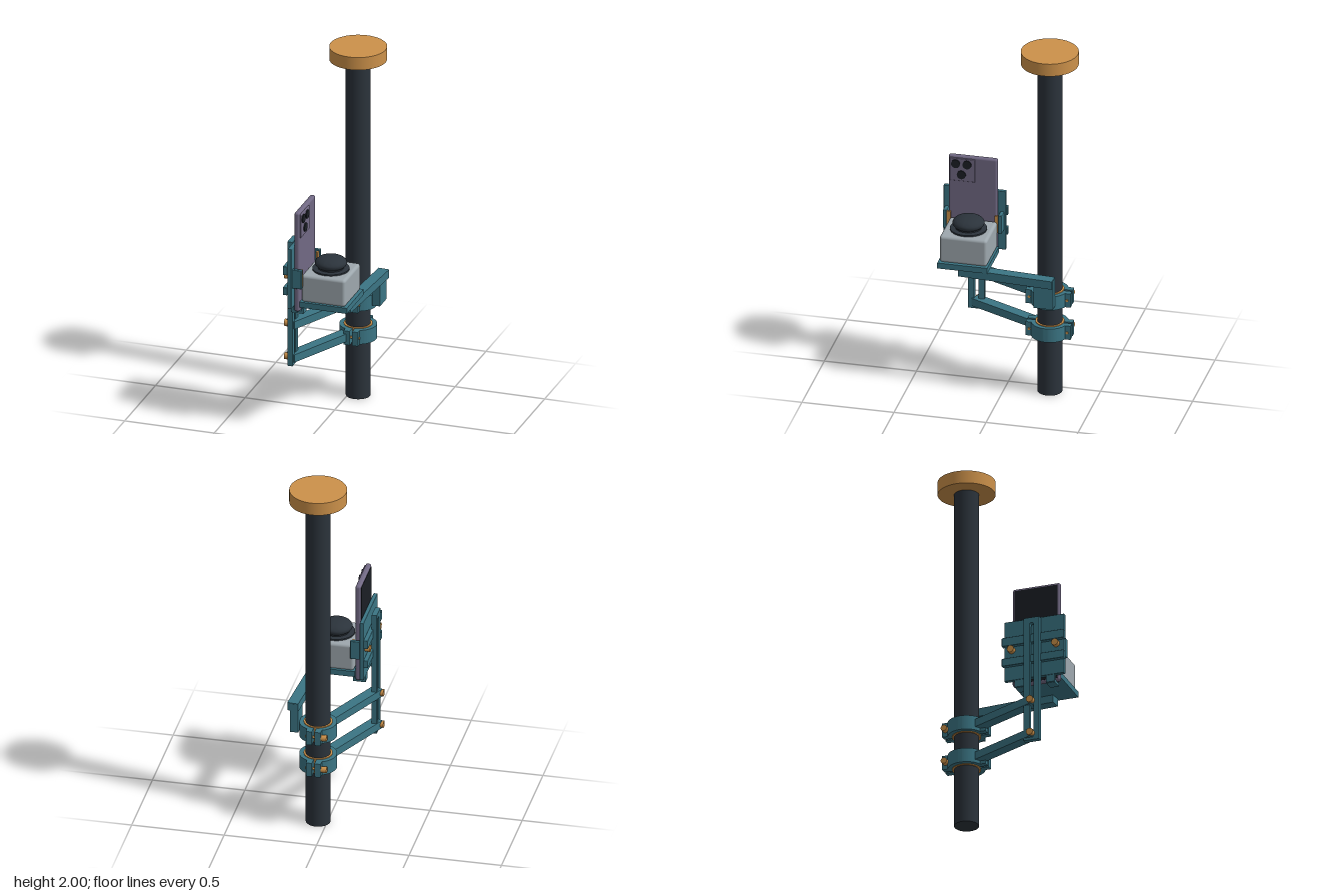
import * as THREE from 'three';
import { toCreasedNormals } from 'three/addons/utils/BufferGeometryUtils.js';
import { RoundedBoxGeometry } from 'three/addons/geometries/RoundedBoxGeometry.js';

const paint = (name, color) => Object.assign(new THREE.MeshStandardMaterial({ color }), { name });

export function createModel() {
  const teal = paint('teal', 0x3b7584);
  const orange = paint('orange', 0xcc914a);
  const charcoal = paint('charcoal', 0x2b333b);
  const grey = paint('grey', 0x9ea8ae);
  const purple = paint('purple', 0x716984);
  const black = paint('black', 0x1b1f25);

  const model = new THREE.Group();
  const PX = 0.05, PZ = -0.237; // pole axis

  const add = (name, geo, mat, x = 0, y = 0, z = 0, parent = model) => {
    const m = new THREE.Mesh(geo, mat);
    m.name = name;
    m.position.set(x, y, z);
    parent.add(m);
    return m;
  };
  // box given by its limits on each axis
  const block = (name, mat, [x0, x1], [y0, y1], [z0, z1], r = 0, parent = model) => {
    const s = [x1 - x0, y1 - y0, z1 - z0];
    const geo = r ? new RoundedBoxGeometry(...s, 3, r) : new THREE.BoxGeometry(...s);
    return add(name, geo, mat, (x0 + x1) / 2, (y0 + y1) / 2, (z0 + z1) / 2, parent);
  };
  // cylinder lying along x
  const rod = (name, mat, r, x0, x1, y, z, parent = model) =>
    add(name, new THREE.CylinderGeometry(r, r, x1 - x0, 32).rotateZ(Math.PI / 2), mat, (x0 + x1) / 2, y, z, parent);
  // plan shape extruded upwards
  const slab = (shape, h) => toCreasedNormals(
    new THREE.ExtrudeGeometry(shape, { depth: h, bevelEnabled: false, curveSegments: 32 }).rotateX(-Math.PI / 2), 0.5);

  // pole and cap
  add('pole', new THREE.CylinderGeometry(0.066, 0.066, 1.94, 48), charcoal, PX, 0.97, PZ);
  add('poleCap', new THREE.CylinderGeometry(0.153, 0.153, 0.072, 64), orange, PX, 1.964, PZ);

  // split clamps, each with a liner, ears, bolts and an arm
  const gap = 0.007, ro = 0.1, ri = 0.075;
  const half = new THREE.Shape();
  const a0 = Math.acos(gap / ro), a1 = Math.acos(gap / ri);
  half.absarc(0, 0, ro, -a0, a0, false);
  half.absarc(0, 0, ri, a1, -a1, true);
  const linerShape = new THREE.Shape().absarc(0, 0, 0.0765, 0, Math.PI * 2, false);
  linerShape.holes.push(new THREE.Path().absarc(0, 0, 0.0655, 0, Math.PI * 2, true));

  for (const y of [0.37, 0.56]) {
    const clamp = new THREE.Group();
    clamp.name = 'clamp';
    clamp.position.set(PX, y, PZ);
    model.add(clamp);
    add('clampLiner', slab(linerShape, 0.088), orange, 0, -0.044, 0, clamp);
    for (const s of [1, -1]) {
      const ring = add('clampHalf', slab(half, 0.08), teal, 0, -0.04, 0, clamp);
      if (s < 0) ring.rotation.y = Math.PI;
      for (const e of [1, -1]) {
        const zs = [e * 0.075, e * 0.122].sort((a, b) => a - b);
        const xs = [s * gap, s * 0.04].sort((a, b) => a - b);
        block('clampEar', teal, xs, [-0.04, 0.04], zs, 0, clamp);
      }
    }
    for (const e of [1, -1]) {
      rod('clampBolt', orange, 0.007, -0.05, 0.044, 0, e * 0.103, clamp);
      rod('clampBoltHead', orange, 0.017, -0.07, -0.04, 0, e * 0.103, clamp);
    }
    // radial arm out to the upright
    const arm = new THREE.Group();
    arm.name = 'armPivot';
    arm.rotation.y = Math.atan2(-0.43, 0.9);
    clamp.add(arm);
    block('arm', teal, [-0.03, 0.03], [-0.022, 0.022], [0.092, 0.51], 0, arm);
    rod('pivotKnob', orange, 0.019, -0.205, -0.17, y, 0.21);
  }

  // slotted upright
  const upright = new THREE.Shape();
  upright.moveTo(-0.044, 0.333).lineTo(0.044, 0.333).lineTo(0.044, 1.045).lineTo(-0.044, 1.045).closePath();
  const slot = new THREE.Path();
  slot.absarc(0, 1.005, 0.011, 0, Math.PI, false);
  slot.absarc(0, 0.37, 0.011, Math.PI, Math.PI * 2, false);
  upright.holes.push(slot);
  const upGeo = new THREE.ExtrudeGeometry(upright, { depth: 0.028, bevelEnabled: false }).rotateY(Math.PI / 2);
  add('upright', toCreasedNormals(upGeo, 0.5), teal, -0.176, 0, 0.211);

  // phone holder: back plate, rails, jaws and feet
  block('holderPlate', teal, [-0.133, -0.111], [0.716, 1.06], [0.042, 0.38], 0.004);
  block('upperRail', teal, [-0.157, -0.132], [0.91, 0.96], [0.036, 0.387], 0.004);
  block('lowerRail', teal, [-0.157, -0.132], [0.795, 0.84], [0.036, 0.387], 0.004);
  for (const s of [1, -1]) {
    const side = (a, b) => [0.211 + s * a, 0.211 + s * b].sort((p, q) => p - q);
    block('jaw', teal, [-0.113, -0.057], [0.833, 0.94], side(0.14, 0.16), 0.004);
    block('jawPad', orange, [-0.074, -0.063], [0.835, 0.932], side(0.12, 0.141));
    rod('jawKnob', orange, 0.019, -0.161, -0.13, 0.89, 0.211 + s * 0.125);
  }
  for (const z of [0.125, 0.3]) {
    block('footPost', teal, [-0.131, -0.114], [0.676, 0.73], [z - 0.024, z + 0.024]);
    block('foot', teal, [-0.125, -0.062], [0.674, 0.69], [z - 0.024, z + 0.024]);
    block('footLip', teal, [-0.072, -0.062], [0.676, 0.705], [z - 0.024, z + 0.024]);
  }

  // phone
  block('phone', purple, [-0.108, -0.078], [0.69, 1.258], [0.08, 0.346], 0.012);
  block('phoneScreen', black, [-0.1095, -0.106], [0.703, 1.245], [0.092, 0.334]);
  block('cameraPlate', purple, [-0.08, -0.071], [1.113, 1.247], [0.2, 0.338], 0.004);
  for (const [y, z] of [[1.214, 0.304], [1.214, 0.242], [1.152, 0.273]])
    rod('cameraLens', black, 0.024, -0.073, -0.065, y, z);

  // tray with its side arm and clamp bracket
  block('tray', teal, [-0.078, 0.186], [0.716, 0.748], [0.07, 0.342]);
  const trayArm = block('trayArm', teal, [-0.03, 0.03], [0.674, 0.72], [-0.259, 0.259]);
  trayArm.position.set(0.158, 0.697, -0.028);
  trayArm.rotation.y = -0.072;
  block('trayBracket', teal, [0.147, 0.19], [0.547, 0.715], [-0.288, -0.182]);

  // housing with mushroom dome
  block('housing', grey, [-0.072, 0.172], [0.746, 0.9], [0.077, 0.334], 0.016);
  const dome = [[0, 0.896], [0.098, 0.896], [0.098, 0.908], [0.07, 0.91], [0.07, 0.916]]
    .map(p => new THREE.Vector2(...p));
  for (let i = 0; i <= 14; i++) {
    const t = -0.6 + (Math.PI / 2 + 0.6) * i / 14;
    dome.push(new THREE.Vector2(Math.max(0, 0.085 * Math.cos(t)), 0.938 + 0.037 * Math.sin(t)));
  }
  add('dome', toCreasedNormals(new THREE.LatheGeometry(dome, 48), 0.6), charcoal, PX, 0, 0.205);

  return model;
}
